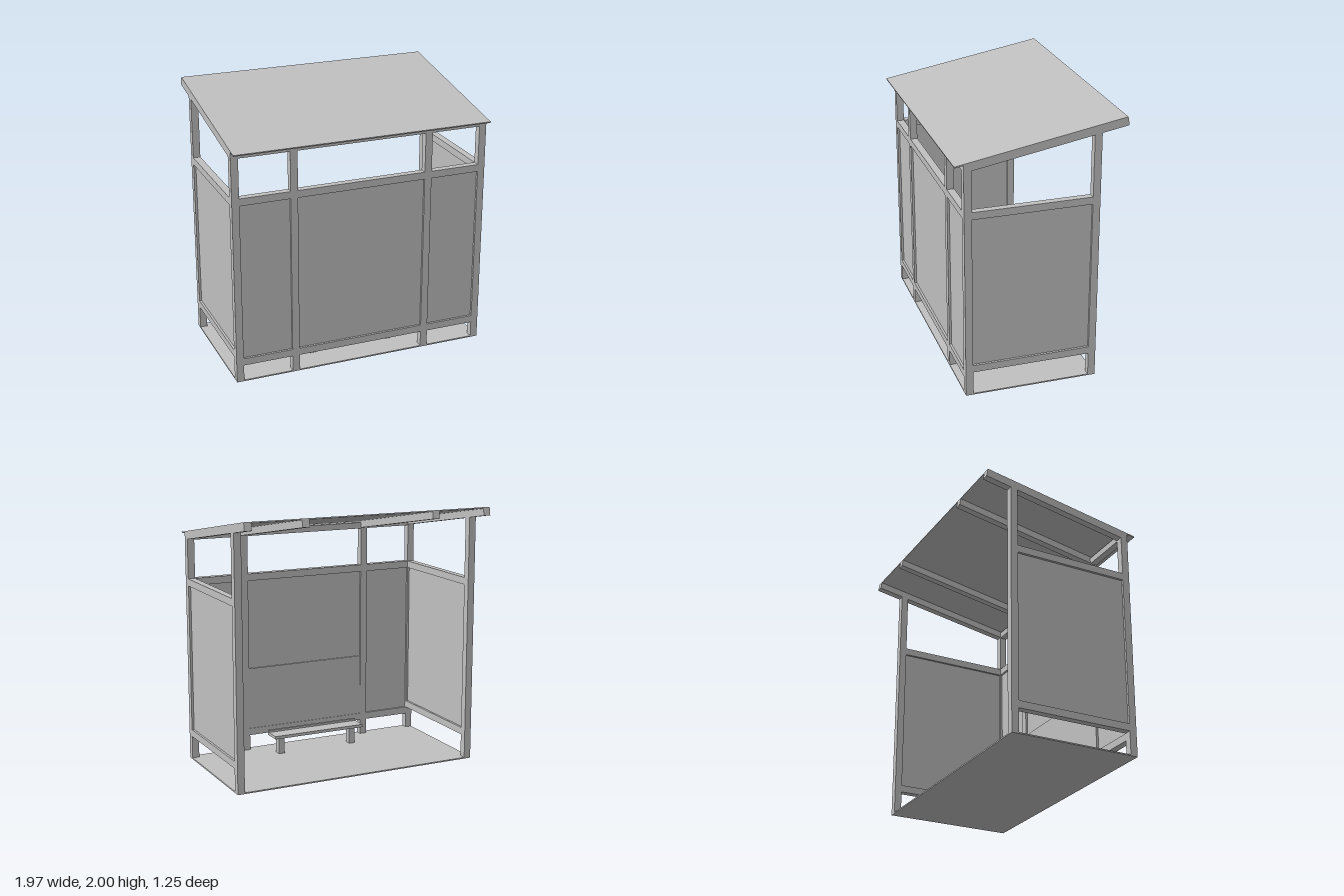
import * as THREE from 'three';

export function createModel() {
  const model = new THREE.Group();
  model.name = 'shelter';
  const grey = new THREE.MeshStandardMaterial({ color: 0xc0c0c0 });
  grey.name = 'grey';

  const add = (name, geometry) => {
    const mesh = new THREE.Mesh(geometry, grey);
    mesh.name = name;
    model.add(mesh);
  };
  // Box given by its lower and upper limits on each axis
  const box = (name, x0, x1, y0, y1, z0, z1) => {
    const g = new THREE.BoxGeometry(x1 - x0, y1 - y0, z1 - z0);
    g.translate((x0 + x1) / 2, (y0 + y1) / 2, (z0 + z1) / 2);
    add(name, g);
  };
  // Side outline of [z, y] points, extruded across x
  const sideProfile = (name, points, x0, x1) => {
    const shape = new THREE.Shape(points.map(([z, y]) => new THREE.Vector2(z, y)));
    const g = new THREE.ExtrudeGeometry(shape, { depth: x1 - x0, bevelEnabled: false });
    g.rotateY(-Math.PI / 2).translate(x1, 0, 0);
    add(name, g);
  };

  const W = 0.985, T = 0.055;         // half width, bar thickness
  const F = 0.56, B = -0.43;          // wall face and open face in z
  const slope = Math.tan(THREE.MathUtils.degToRad(10));
  const roofY = z => 1.7815 + (0.625 - z) * slope;

  box('floor', -W, W, 0, 0.01, B, F);

  // Roof sheet
  sideProfile('roofSheet', [
    [0.623, roofY(0.623) - 0.01], [-0.617, roofY(-0.617) - 0.01],
    [-0.615, roofY(-0.615)], [0.625, roofY(0.625)],
  ], -W, W);

  // Wall posts with a sloping rafter on each
  const postX = [-W, -0.55, 0.495, W - T];
  for (const x of postX) {
    box('wallPost', x, x + T, 0, 1.76, F - T, F);
    sideProfile('rafter', [
      [F, roofY(F) - 0.064], [-0.626, roofY(-0.626) - 0.064],
      [-0.617, roofY(-0.617) - 0.01], [F, roofY(F) - 0.01],
    ], x, x + T);
  }

  // Wall rails, eaves beam and infill panels between the posts
  for (let i = 0; i < 3; i++) {
    const x0 = postX[i] + T, x1 = postX[i + 1];
    box('lowerRail', x0, x1, 0.13, 0.185, F - T, F);
    box('upperRail', x0, x1, 1.38, 1.435, F - T, F);
    box('eavesBeam', x0, x1, 1.732, 1.78, F - T, F);
    box('wallPanel', x0, x1, 0.185, 1.38, 0.522, 0.543);
  }
  // Lining behind the bench
  box('backLining', -0.495, 0.495, 0.185, 0.675, 0.51, 0.522);

  // Side walls
  for (const s of [-1, 1]) {
    const x0 = s < 0 ? -W : W - T, x1 = x0 + T, mid = (x0 + x1) / 2;
    box('cornerPost', x0, x1, 0, 1.905, B, B + T);
    box('sideLowerRail', x0, x1, 0.185, 0.24, B + T, F - T);
    box('sideUpperRail', x0, x1, 1.38, 1.435, B + T, F - T);
    box('sidePanel', mid - 0.01, mid + 0.01, 0.24, 1.38, B + T, F - T);
  }

  // Bench
  box('benchSeat', -0.385, 0.385, 0.147, 0.17, 0.255, 0.405);
  box('benchLip', -0.385, 0.385, 0.17, 0.186, 0.382, 0.405);
  for (const x of [-0.313, 0.311]) {
    box('benchLeg', x - 0.025, x + 0.025, 0.01, 0.147, 0.3, 0.355);
  }

  return model;
}
